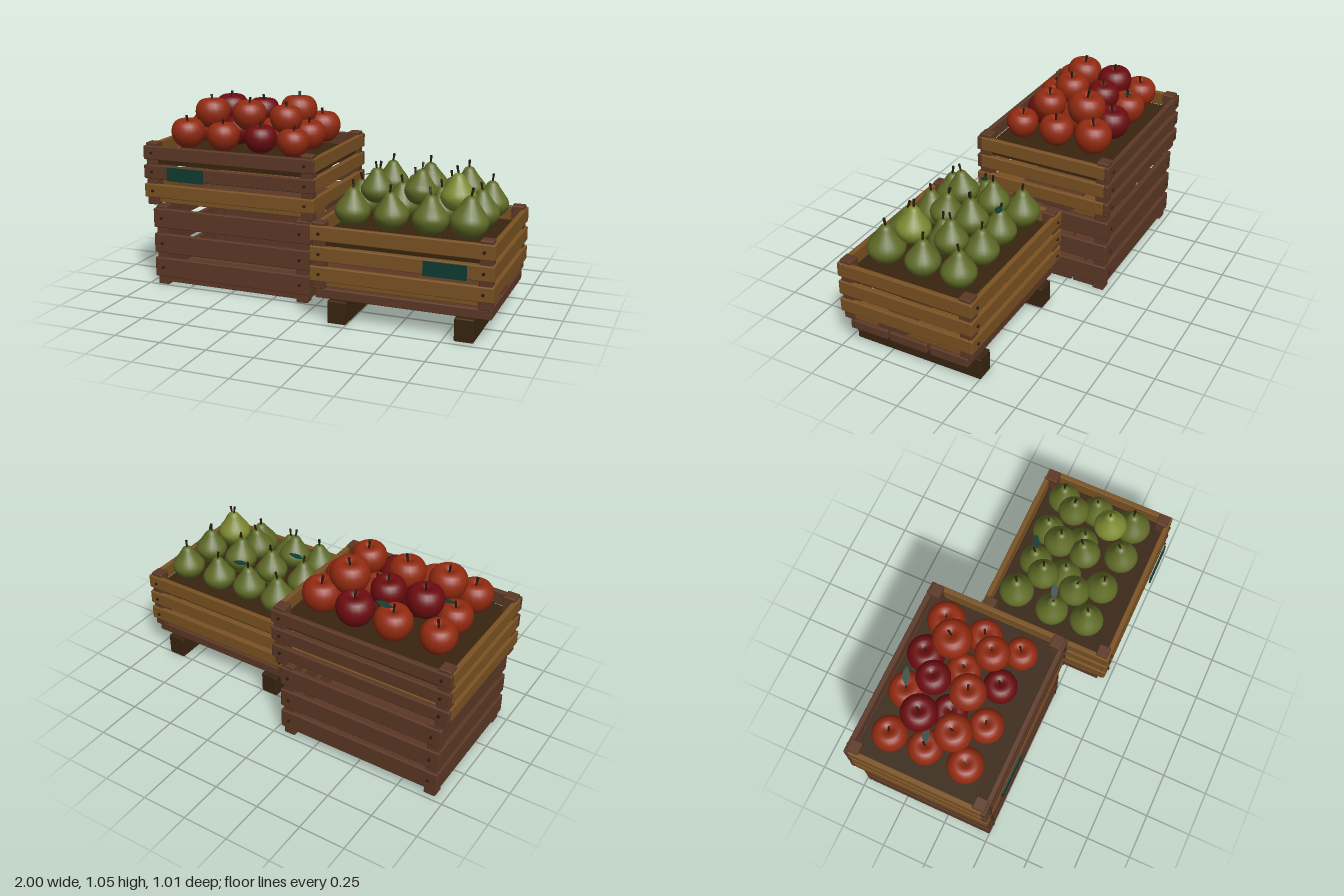
import * as THREE from 'three';
import { RoundedBoxGeometry } from 'three/addons/geometries/RoundedBoxGeometry.js';

const mat = (name, color, side = THREE.FrontSide) => {
  const m = new THREE.MeshStandardMaterial({ color, side });
  m.name = name;
  return m;
};

export function createModel() {
  const model = new THREE.Group();
  model.name = 'fruitCrates';

  const tan = mat('tanWood', 0x7a5222);
  const brown = mat('brownWood', 0x5c3826);
  const dark = mat('darkWood', 0x38240f);
  const red = mat('appleRed', 0x922a10);
  const crimson = mat('appleCrimson', 0x6c0c10);
  const green = mat('pearGreen', 0x5e6a26);
  const lime = mat('pearLight', 0x7c8930);
  const teal = mat('leafAndLabel', 0x0e3a30, THREE.DoubleSide);
  const stemMat = mat('stemAndNail', 0x2a1c0e);

  const add = (parent, name, geo, material, x = 0, y = 0, z = 0) => {
    const m = new THREE.Mesh(geo, material);
    m.name = name;
    m.position.set(x, y, z);
    parent.add(m);
    return m;
  };
  // Board with slightly softened edges
  const board = (parent, name, material, w, h, d, x, y, z) =>
    add(parent, name, new RoundedBoxGeometry(w, h, d, 1, 0.006), material, x, y, z);

  const nailGeo = new THREE.CylinderGeometry(0.008, 0.008, 0.016, 8).rotateX(Math.PI / 2);

  // Slatted crate: base at y = 0, centred on its own x and z
  function crate(name, o) {
    const g = new THREE.Group();
    g.name = name;
    g.position.set(...o.at);
    const { w, d, h, slatH, slatY } = o;
    const t = 0.028, inset = 0.011, post = 0.065;
    for (const sx of [-1, 1]) for (const sz of [-1, 1]) {
      board(g, 'cornerPost', brown, post, h, post,
        sx * (w / 2 - inset - post / 2), h / 2, sz * (d / 2 - inset - post / 2));
    }
    slatY.forEach((y0, i) => {
      const y = y0 + slatH / 2;
      for (const s of [-1, 1]) {
        board(g, s > 0 ? 'frontSlat' : 'backSlat', s > 0 ? o.front[i] : o.back[i],
          w, slatH, t, 0, y, s * (d / 2 - t / 2));
        board(g, 'sideSlat', o.side, t, slatH, d - 2 * t + 0.01, s * (w / 2 - t / 2), y, 0);
        for (const sx of [-1, 1]) {
          add(g, 'nail', nailGeo, stemMat, sx * (w / 2 - 0.05), y, s * d / 2);
        }
      }
    });
    // Four floor boards running along x
    const pitch = (d - 0.06) / 4;
    for (let i = 0; i < 4; i++) {
      board(g, 'floorBoard', o.floor[i], w - 0.03, 0.035, pitch - 0.01,
        0, 0.026, (1.5 - i) * pitch);
    }
    // Dark shelf that the fruit rests on
    if (o.shelf) add(g, 'fruitShelf', new THREE.BoxGeometry(w - 0.06, 0.03, d - 0.06), dark, 0, o.shelf, 0);
    // Label plate on the front
    if (o.labelX) add(g, 'label', new THREE.BoxGeometry(0.215, 0.073, 0.009), teal, o.labelX, slatY[1] + slatH / 2, d / 2 + 0.018);
    model.add(g);
  }

  crate('lowerCrate', {
    at: [-0.5, 0, -0.115], w: 0.92, d: 0.74, h: 0.45, slatH: 0.108, slatY: [0.047, 0.185, 0.328],
    front: [brown, brown, brown], back: [brown, brown, brown], side: brown,
    floor: [brown, brown, brown, brown],
  });
  crate('appleCrate', {
    at: [-0.5, 0.458, -0.113], w: 0.995, d: 0.77, h: 0.345, slatH: 0.075, slatY: [0.043, 0.148, 0.253],
    front: [tan, brown, brown], back: [brown, brown, brown], side: tan,
    floor: [tan, brown, brown, tan], shelf: 0.24, labelX: -0.235,
  });
  crate('pearCrate', {
    at: [0.53, 0.178, 0.107], w: 0.935, d: 0.755, h: 0.345, slatH: 0.077, slatY: [0.043, 0.147, 0.252],
    front: [tan, tan, tan], back: [tan, tan, tan], side: tan,
    floor: [tan, brown, tan, tan], shelf: 0.24, labelX: 0.233,
  });

  // Pallet below the pear crate
  for (const z of [0.335, 0.107, -0.125]) {
    board(model, 'palletBoard', brown, 0.905, 0.052, 0.215, 0.53, 0.146, z);
  }
  for (const x of [0.2, 0.855]) board(model, 'palletBeam', dark, 0.098, 0.12, 0.72, x, 0.06, 0.105);

  // Fruit profiles, widest radius 1 at y = 0
  const lathe = (pts, n) => new THREE.LatheGeometry(
    new THREE.SplineCurve(pts.map(([x, y]) => new THREE.Vector2(x, y))).getPoints(n)
      .map((p) => p.set(Math.max(p.x, 0), p.y)), 20);
  const appleGeo = lathe([[0, -0.66], [0.22, -0.78], [0.5, -0.74], [0.8, -0.46], [0.98, -0.02],
    [0.95, 0.42], [0.72, 0.76], [0.42, 0.84], [0.16, 0.72], [0, 0.6]], 20);
  const pearGeo = lathe([[0, -0.78], [0.35, -0.78], [0.75, -0.55], [0.99, -0.1], [0.92, 0.25],
    [0.66, 0.62], [0.43, 0.95], [0.28, 1.2], [0.12, 1.3], [0, 1.28]], 20);
  const stemGeo = new THREE.CylinderGeometry(0.075, 0.05, 0.55, 6);

  // Pointed leaf, lying nearly flat
  const leafShape = new THREE.Shape();
  leafShape.moveTo(0, 0);
  leafShape.quadraticCurveTo(0.45, 0.42, 0.95, 0);
  leafShape.quadraticCurveTo(0.45, -0.42, 0, 0);
  const leafGeo = new THREE.ShapeGeometry(leafShape, 6).rotateX(-Math.PI / 2);

  let seed = 7;
  const rand = () => (seed = (seed * 16807) % 2147483647) / 2147483647;

  function fruit(kind, material, x, y, z, r, leaf) {
    const g = new THREE.Group();
    g.name = kind;
    g.position.set(x, y, z);
    g.rotation.set((rand() - 0.5) * 0.16, rand() * 6, (rand() - 0.5) * 0.16);
    g.scale.setScalar(r);
    const top = kind === 'apple' ? 0.82 : 1.45;
    add(g, kind + 'Body', kind === 'apple' ? appleGeo : pearGeo, material);
    add(g, 'stem', stemGeo, stemMat, 0.03, top, 0).rotation.z = -0.18;
    if (leaf) {
      const l = add(g, 'leaf', leafGeo, teal, 0, top + 0.1, 0);
      l.rotation.set(0.15, 0.3 - g.rotation.y, 0.2);
    }
    model.add(g);
  }

  // Apples: x, z, radius, material, leaf
  [[-0.83, -0.315, 0.092, red], [-0.6, -0.335, 0.097, red, 1], [-0.39, -0.335, 0.098, crimson], [-0.19, -0.32, 0.1, red],
    [-0.82, -0.13, 0.09, red, 1], [-0.61, -0.1, 0.09, crimson], [-0.39, -0.13, 0.09, red], [-0.185, -0.11, 0.092, red],
    [-0.82, 0.085, 0.093, red], [-0.6, 0.095, 0.09, red], [-0.39, 0.07, 0.088, crimson], [-0.19, 0.095, 0.086, red],
  ].forEach(([x, z, r, m, leaf]) => fruit('apple', m, x, 0.725 + r * 1.15, z, r, leaf));
  [[-0.7, -0.215, 0.094, crimson], [-0.51, -0.23, 0.088, crimson], [-0.295, -0.23, 0.102, red],
    [-0.72, -0.02, 0.097, red], [-0.51, -0.045, 0.094, red], [-0.28, -0.02, 0.09, red],
  ].forEach(([x, z, r, m]) => fruit('apple', m, x, 0.835 + r, z, r));

  // Pears: x, z, radius, material, leaf
  [[0.22, -0.12, 0.095, green], [0.425, -0.1, 0.09, green, 1], [0.62, -0.11, 0.09, green], [0.835, -0.11, 0.09, green],
    [0.2, 0.095, 0.09, green, 1], [0.41, 0.08, 0.09, green], [0.625, 0.09, 0.09, green], [0.835, 0.09, 0.09, green],
    [0.22, 0.29, 0.092, green], [0.425, 0.29, 0.09, green], [0.635, 0.315, 0.093, green], [0.825, 0.305, 0.098, green],
  ].forEach(([x, z, r, m, leaf]) => fruit('pear', m, x, 0.46 + r, z, r, leaf));
  [[0.33, -0.015, 0.085, green], [0.54, -0.01, 0.088, green], [0.74, -0.015, 0.085, green],
    [0.31, 0.175, 0.085, green], [0.53, 0.14, 0.085, green], [0.74, 0.2, 0.09, lime],
  ].forEach(([x, z, r, m]) => fruit('pear', m, x, 0.56 + r, z, r));

  return model;
}
